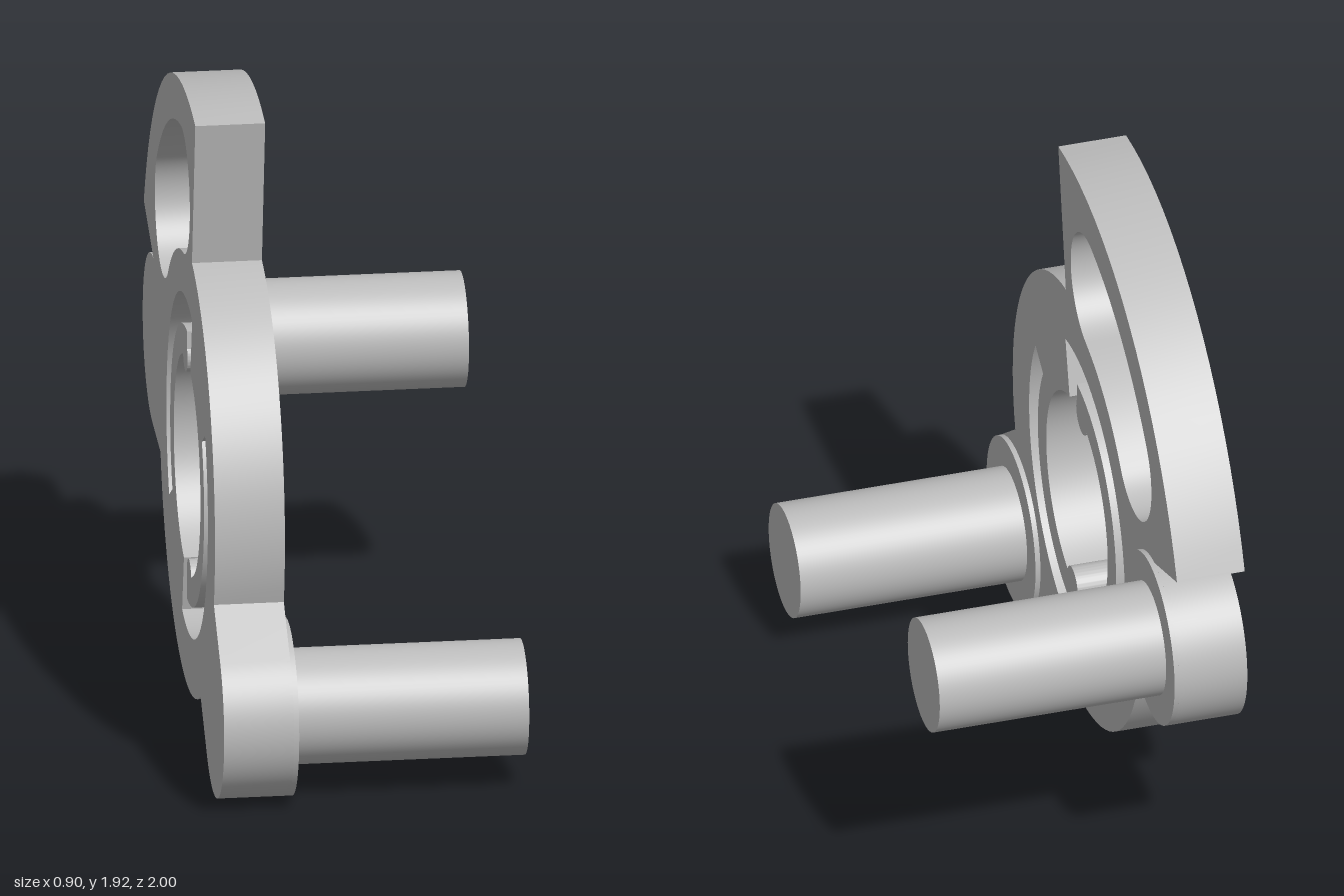
import * as THREE from 'three';
import { toCreasedNormals } from 'three/addons/utils/BufferGeometryUtils.js';

const RAD = Math.PI / 180;
// Plate outline is drawn about the ring centre; u runs toward -z, v is up.
const CENTRE = { u: -0.093, v: 0.783 };
const BACK = -0.455, FACE = -0.25, FLANGE = -0.235, TIP = 0.45;
const RING = 0.682, BOSS = 0.26, PIN = 0.17;
const BOSSES = [
  { name: 'upper', angle: 5.3, r: 0.832 },
  { name: 'lower', angle: 218.7, r: 0.829 },
];

const polar = (r, deg) => new THREE.Vector2(r * Math.cos(deg * RAD), r * Math.sin(deg * RAD));

// Points along an arc, angles in degrees
function arc(c, r, a0, a1) {
  const n = Math.max(2, Math.ceil(Math.abs(a1 - a0) / 4));
  return Array.from({ length: n + 1 }, (_, i) => polar(r, a0 + (a1 - a0) * i / n).add(c));
}

function plateShape() {
  const o = new THREE.Vector2();
  const [up, low] = BOSSES;
  const spread = Math.asin(BOSS / RING) / RAD;

  // Outline: upper boss, fan, ring, lower boss, ring
  const shape = new THREE.Shape([
    ...arc(polar(up.r, up.angle), BOSS, up.angle - 90, 91),
    ...arc(o, 1.144, 22, 100),
    ...arc(o, RING, 100, low.angle - spread),
    ...arc(polar(low.r, low.angle), BOSS, low.angle - 90, low.angle + 90),
    ...arc(o, RING, low.angle + spread, 360 + up.angle - spread),
  ]);

  // Central opening with two curved spring arms, each ending in a knob
  const half = [
    ...arc(o, 0.326, -76, 72),
    ...arc(new THREE.Vector2(0.048, 0.332), 0.056, -17, -211),
    ...arc(o, 0.415, 90, -30),
    ...arc(o, 0.508, -30, 104),
  ];
  const opening = [...half, ...half.map((p) => p.clone().negate())];

  // Bean-shaped window in the fan
  const mid = 0.821, w = 0.189, a = 43, b = 81.4;
  const bean = [
    ...arc(o, mid + w, a, b),
    ...arc(polar(mid, b), w, b, b + 180).slice(1),
    ...arc(o, mid - w, b, a).slice(1),
    ...arc(polar(mid, a), w, a + 180, a + 360).slice(1, -1),
  ];
  shape.holes.push(new THREE.Path(opening), new THREE.Path(bean));
  return shape;
}

export function createModel() {
  const model = new THREE.Group();
  const grey = new THREE.MeshStandardMaterial({ color: 0xbcbcbc });
  grey.name = 'plain grey';

  const add = (name, geometry, x, y, z) => {
    const mesh = new THREE.Mesh(geometry, grey);
    mesh.name = name;
    mesh.position.set(x, y, z);
    model.add(mesh);
  };

  // Flat plate, turned so that its thickness runs along x
  const plate = new THREE.ExtrudeGeometry(plateShape(), { depth: FACE - BACK, bevelEnabled: false });
  plate.rotateY(Math.PI / 2);
  add('plate', toCreasedNormals(plate, 25 * RAD), BACK, CENTRE.v, -CENTRE.u);

  // Raised flange and round pin on each boss
  for (const boss of BOSSES) {
    const p = polar(boss.r, boss.angle);
    const rod = (name, r, x0, x1) => {
      const g = new THREE.CylinderGeometry(r, r, x1 - x0, 64);
      g.rotateZ(-Math.PI / 2);
      add(name, g, (x0 + x1) / 2, CENTRE.v + p.y, -(CENTRE.u + p.x));
    };
    rod(boss.name + 'Flange', BOSS, FACE - 0.01, FLANGE);
    rod(boss.name + 'Pin', PIN, FLANGE - 0.01, TIP);
  }
  return model;
}
